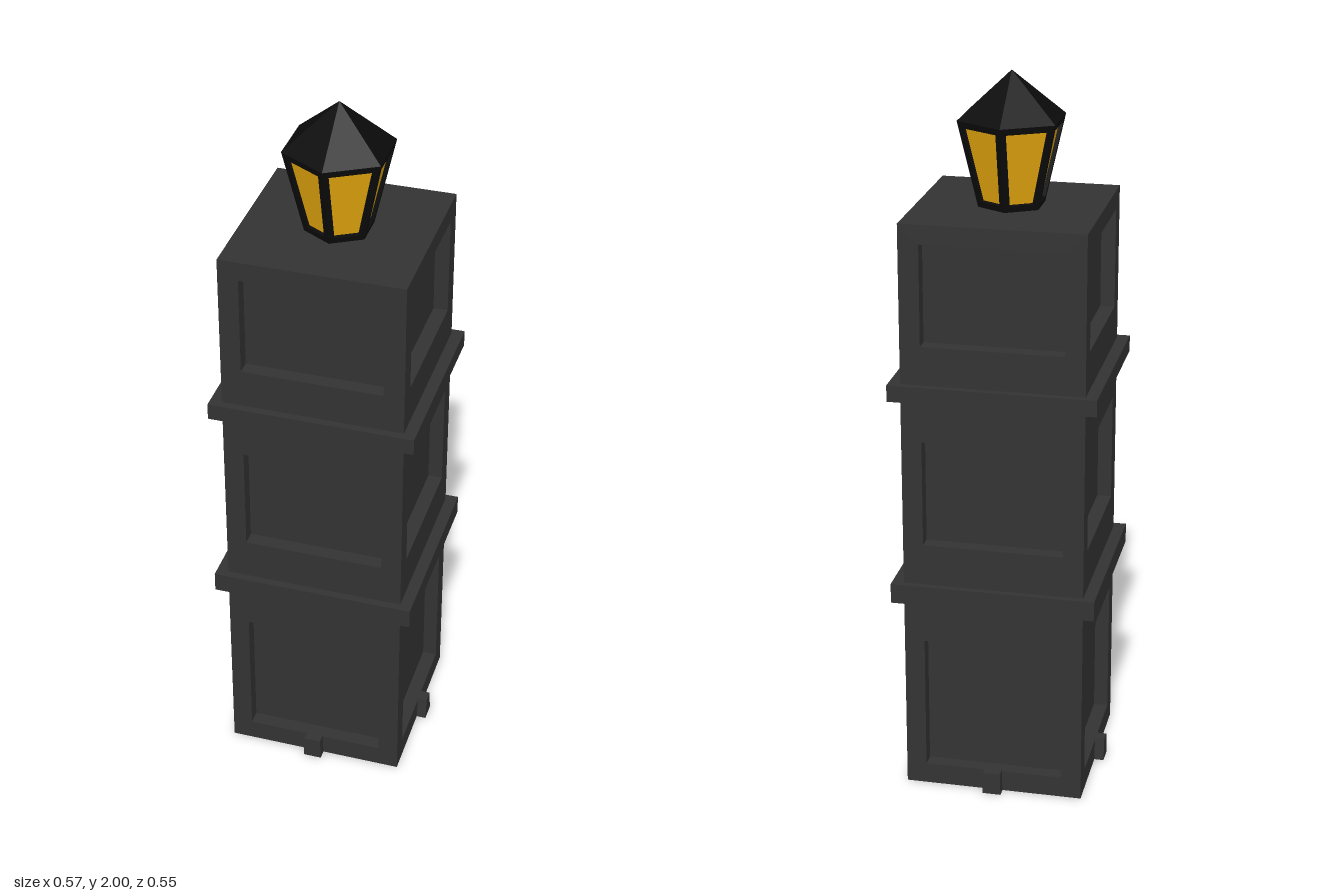
import * as THREE from 'three';

const stone = new THREE.MeshStandardMaterial({ color: 0x333333, flatShading: true });
const iron = new THREE.MeshStandardMaterial({ color: 0x0b0b0b, flatShading: true });
const amber = new THREE.MeshStandardMaterial({ color: 0xe8aa0e, flatShading: true, side: THREE.DoubleSide });

const HALF = 0.25, HEIGHT = 1.64, DEPTH = 0.04;

function add(parent, name, geometry, material, x = 0, y = 0, z = 0) {
  const mesh = new THREE.Mesh(geometry, material);
  mesh.name = name;
  mesh.position.set(x, y, z);
  parent.add(mesh);
  return mesh;
}

// Closed polygon from corner points
const polygon = (points, Type = THREE.Shape) => new Type(points.map(p => new THREE.Vector2(...p)));
const rect = (w, y0, y1) => [[-w, y0], [w, y0], [w, y1], [-w, y1]];

function extrude(shape, depth) {
  return new THREE.ExtrudeGeometry(shape, { depth, bevelEnabled: false });
}

// Square pillar: a core with four walls that carry recessed panels
function createPillar() {
  const pillar = new THREE.Group();
  pillar.name = 'pillar';
  const inner = HALF - DEPTH;
  add(pillar, 'pillarCore', new THREE.BoxGeometry(inner * 2, HEIGHT, inner * 2), stone, 0, HEIGHT / 2, 0);
  for (let i = 0; i < 4; i++) {
    const side = new THREE.Group();
    side.name = 'pillarSide';
    side.rotation.y = i * Math.PI / 2;
    pillar.add(side);

    const wall = polygon(rect(i % 2 ? inner : HALF, 0, HEIGHT));
    for (const [y0, y1] of [[0.06, 0.447], [0.737, 1.038], [1.308, 1.587]])
      wall.holes.push(polygon(rect(0.194, y0, y1).reverse(), THREE.Path));
    add(side, 'panelledWall', extrude(wall, DEPTH), stone, 0, 0, inner);

    // Small foot at the middle of the bottom edge
    const top = i % 2 ? 0.017 : 0.024;
    const foot = polygon([[-0.026, 0], [0.026, 0], [top, 0.064], [-top, 0.064]]);
    add(side, 'foot', extrude(foot, 0.037), stone, 0, 0, 0.24);
  }
  // Projecting bands
  for (const y of [0.592, 1.177])
    add(pillar, 'band', new THREE.BoxGeometry(0.566, y < 1 ? 0.056 : 0.046, 0.54), stone, 0, y, 0.002);
  return pillar;
}

// Six-sided lantern, wider at the top, with corners facing front and back
function createLantern() {
  const lantern = new THREE.Group();
  lantern.name = 'lantern';
  lantern.position.y = HEIGHT;
  const rTop = 0.151, rBottom = 0.094, h = 0.235, cos30 = Math.cos(Math.PI / 6);
  const lean = (rTop - rBottom) * cos30;
  const slant = Math.hypot(h, lean);

  add(lantern, 'roof', new THREE.ConeGeometry(rTop, 0.125, 6), iron, 0, h + 0.0625, 0);
  add(lantern, 'basePlate', new THREE.CylinderGeometry(rBottom, rBottom - 0.002, 0.012, 6), iron, 0, 0.006, 0);
  add(lantern, 'glass', new THREE.CylinderGeometry(rTop - 0.012, rBottom - 0.012, h, 6, 1, true), amber, 0, h / 2, 0);

  // Frame around each pane; half-width grows from bottom to top
  const half = y => (rBottom + (rTop - rBottom) * y / slant) / 2;
  const low = 0.017, high = slant - 0.018, bar = 0.016;
  for (let i = 0; i < 6; i++) {
    const face = new THREE.Group();
    face.name = 'lanternSide';
    face.rotation.y = (i + 0.5) * Math.PI / 3;
    lantern.add(face);
    const shape = polygon([[-half(0), 0], [half(0), 0], [half(slant), slant], [-half(slant), slant]]);
    const a = half(low) - bar, b = half(high) - bar;
    shape.holes.push(polygon([[-a, low], [-b, high], [b, high], [a, low]], THREE.Path));
    const geometry = extrude(shape, 0.012).translate(0, 0, -0.012);
    const frame = add(face, 'paneFrame', geometry, iron, 0, 0, rBottom * cos30);
    frame.rotation.x = Math.atan2(lean, h);
  }
  return lantern;
}

export function createModel() {
  const model = new THREE.Group();
  model.name = 'lanternPillar';
  model.add(createPillar(), createLantern());
  return model;
}
